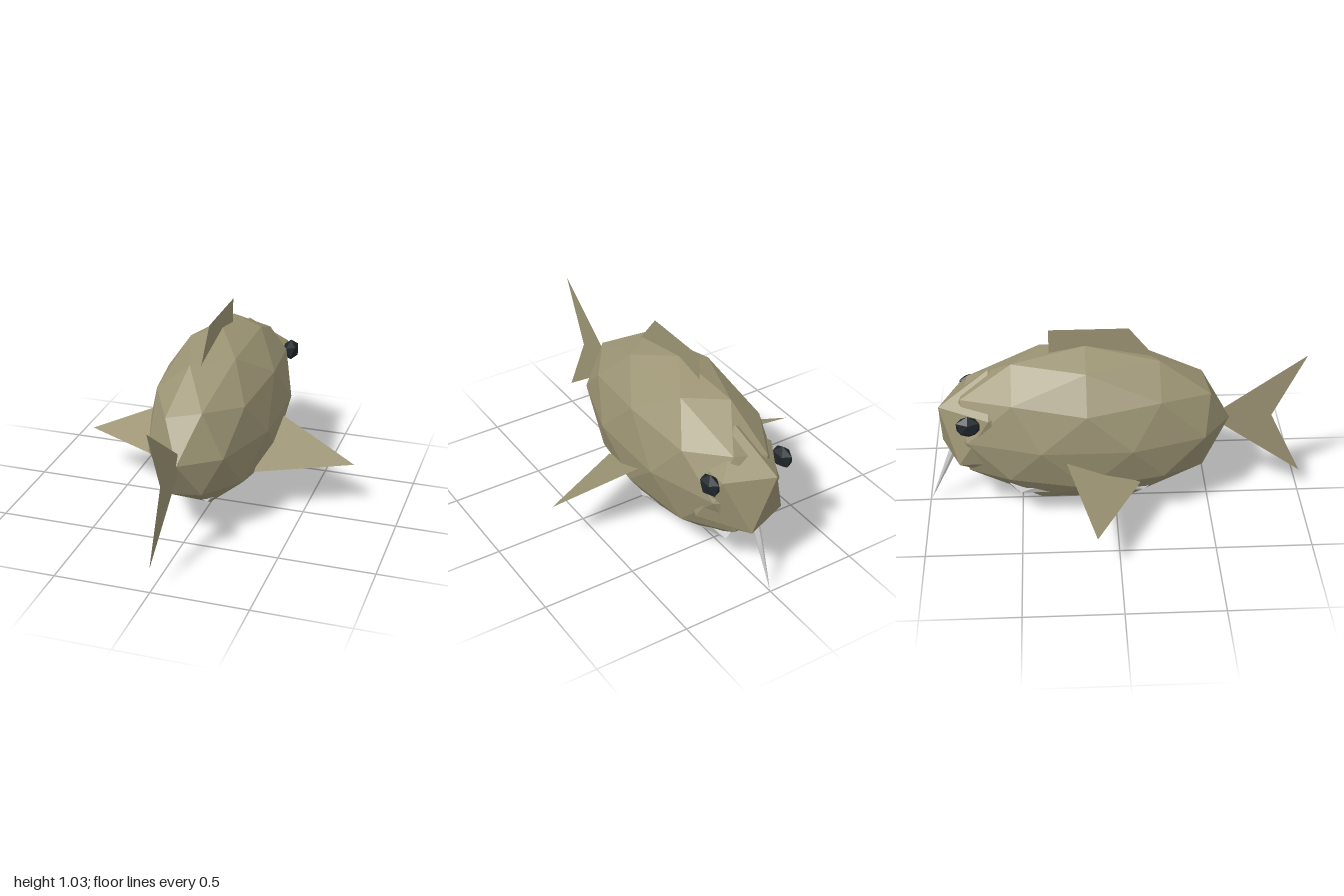
import * as THREE from 'three';

const skin = new THREE.MeshStandardMaterial({ color: 0x9c9474, flatShading: true });
const finSkin = new THREE.MeshStandardMaterial({ color: 0x9c9474, flatShading: true, side: THREE.DoubleSide });
const grey = new THREE.MeshStandardMaterial({ color: 0xcccccc, flatShading: true });
const dark = new THREE.MeshStandardMaterial({ color: 0x1d2529, flatShading: true });

// Turns an icosahedron so one corner points straight up
const POLE_TILT = Math.PI / 2 - Math.atan((1 + Math.sqrt(5)) / 2);

export function createModel() {
  const group = new THREE.Group();

  const add = (name, geometry, material) => {
    const mesh = new THREE.Mesh(geometry, material);
    mesh.name = name;
    group.add(mesh);
    return mesh;
  };

  // Faceted ellipsoid with its poles along y
  const blob = (name, material, detail, radii, center) => {
    const g = new THREE.IcosahedronGeometry(1, detail).rotateZ(POLE_TILT);
    g.scale(...radii).translate(...center);
    g.computeVertexNormals();
    return add(name, g, material);
  };

  // Flat fin in the x = 0 plane from [z, y] points
  const flatFin = (name, points) => {
    const shape = new THREE.Shape(points.map(([z, y]) => new THREE.Vector2(-z, y)));
    return add(name, new THREE.ShapeGeometry(shape).rotateY(Math.PI / 2), finSkin);
  };

  // Body, head and the pale belly that pokes through the underside
  blob('body', skin, 1, [0.336, 0.45, 0.76], [0, 0.485, -0.155]);
  blob('head', skin, 0, [0.25, 0.32, 0.308], [0, 0.487, -0.655]);
  blob('belly', grey, 0, [0.268, 0.17, 0.62], [0, 0.242, -0.18]);

  // Fins on the centre line
  flatFin('dorsalFin', [[0.28, 0.77], [0.07, 1.03], [-0.34, 1.03], [-0.34, 0.77]]);
  flatFin('tailFin', [[0.5, 0.487], [1, 0.845], [0.83, 0.487], [1, 0.13]]);

  // Paired eyes and side fins
  for (const [side, s] of [['left', 1], ['right', -1]]) {
    blob(side + 'Eye', dark, 0, [0.045, 0.06, 0.07], [s * 0.215, 0.6, -0.76]);
    const fin = new THREE.BufferGeometry().setFromPoints([
      new THREE.Vector3(s * 0.26, 0.443, -0.28),
      new THREE.Vector3(s * 0.26, 0.26, 0.12),
      new THREE.Vector3(s * 0.74, 0.26, -0.12),
    ]);
    fin.computeVertexNormals();
    add(side + 'Fin', fin, finSkin);
  }

  // Chin spike, leaning out beyond the head
  const tip = new THREE.Vector3(0, 0, -0.997);
  const root = new THREE.Vector3(0, 0.42, -0.82);
  const axis = tip.clone().sub(root);
  const spike = add('chinSpike', new THREE.ConeGeometry(0.027, axis.length(), 8), grey);
  spike.position.copy(root).add(tip).multiplyScalar(0.5);
  spike.quaternion.setFromUnitVectors(new THREE.Vector3(0, 1, 0), axis.normalize());

  return group;
}
